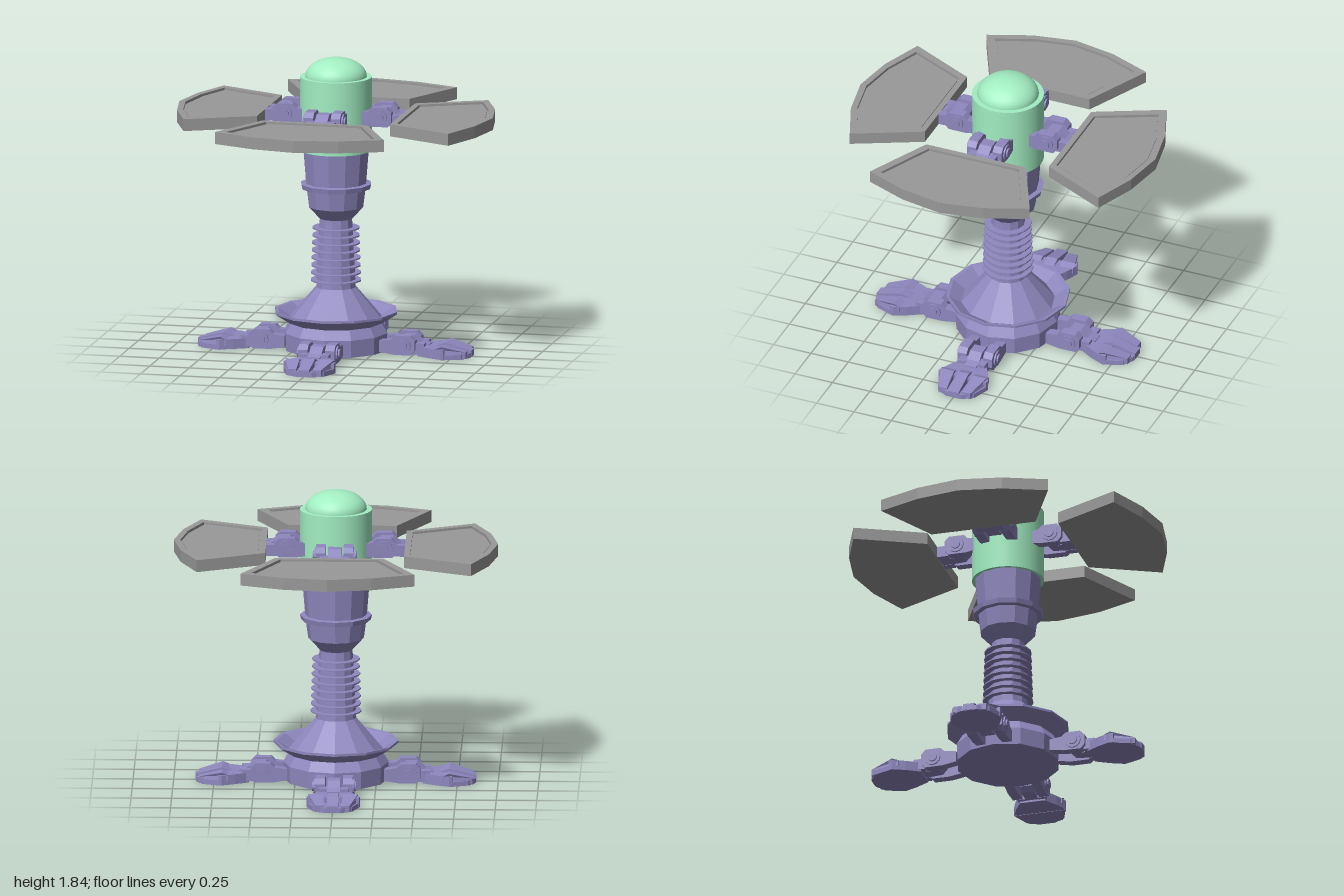
import * as THREE from 'three';

const material = (color, flatShading = true) =>
  new THREE.MeshStandardMaterial({ color, flatShading, side: THREE.DoubleSide });
const violet = material(0x8f88bf);
const green = material(0xa2eec2, false);
const greenFlat = material(0xa2eec2);
const grey = material(0x999999);

function add(parent, name, geometry, mat, x = 0, y = 0, z = 0) {
  const mesh = new THREE.Mesh(geometry, mat);
  mesh.name = name;
  mesh.position.set(x, y, z);
  parent.add(mesh);
  return mesh;
}

const vectors = (points) => points.map(([x, y]) => new THREE.Vector2(x, y));
const lathe = (points, sides) => new THREE.LatheGeometry(vectors(points), sides);

// Side profile (radial, up) given a width across z, centred on z = 0
function profile(points, width) {
  return new THREE.ExtrudeGeometry(new THREE.Shape(vectors(points)), { depth: width, bevelEnabled: false })
    .translate(0, 0, -width / 2);
}

// Plan outline (x, z) hanging down from y = 0, with an optional hole
function plate(points, thickness, hole) {
  const shape = new THREE.Shape(vectors(points));
  if (hole) shape.holes.push(new THREE.Path(vectors(hole)));
  return new THREE.ExtrudeGeometry(shape, { depth: thickness, bevelEnabled: false }).rotateX(Math.PI / 2);
}

// Twin lugs, centre tongue and a pin with stepped caps; pivot at the origin
function makeHinge(name) {
  const hinge = new THREE.Group();
  hinge.name = name;
  const lug = [[-0.15, -0.045], [-0.06, -0.06], [0.05, -0.06], [0.075, -0.03],
    [0.075, 0.03], [0.045, 0.06], [-0.05, 0.06], [-0.075, 0.035], [-0.15, 0.025]];
  const tongue = [[-0.05, -0.02], [-0.02, -0.05], [0.06, -0.055], [0.15, -0.055],
    [0.15, 0.0], [0.1, 0.015], [0.05, 0.05], [-0.02, 0.05], [-0.05, 0.02]];
  add(hinge, 'hingeTongue', profile(tongue, 0.08), violet);
  for (const side of [-1, 1]) {
    add(hinge, 'hingeLug', profile(lug, 0.06), violet, 0, 0, side * 0.085);
    add(hinge, 'hingeShoulder', new THREE.BoxGeometry(0.07, 0.07, 0.05), violet, 0.095, -0.022, side * 0.065);
    for (const [radius, reach] of [[0.05, 0.125], [0.03, 0.135]]) {
      const cap = add(hinge, 'pinCap', new THREE.CylinderGeometry(radius, radius, 0.03, 12), violet,
        0, 0, side * (reach - 0.015));
      cap.rotation.x = Math.PI / 2;
    }
  }
  return hinge;
}

// Palm with three sloping toes
function makeFoot() {
  const foot = new THREE.Group();
  foot.name = 'foot';
  const heel = [[0.535, -0.08], [0.62, -0.13], [0.7, -0.165], [0.72, -0.16],
    [0.72, 0.16], [0.7, 0.165], [0.62, 0.13], [0.535, 0.08]];
  add(foot, 'palm', plate(heel, 0.062), violet, 0, 0.064, 0);
  const sole = [[0.7, -0.165], [0.82, -0.12], [0.862, -0.05], [0.862, 0.05], [0.82, 0.12], [0.7, 0.165]];
  add(foot, 'toeSole', plate(sole, 0.03), violet, 0, 0.03, 0);
  add(foot, 'middleToe', profile([[0.64, 0.03], [0.866, 0.003], [0.866, 0.043], [0.7, 0.085], [0.64, 0.064]], 0.07), violet);
  for (const side of [-1, 1]) {
    const toe = profile([[0.7, 0.003], [0.845, 0.003], [0.845, 0.043], [0.7, 0.08], [0.66, 0.064], [0.66, 0.03]], 0.09);
    const p = toe.attributes.position;
    // Pull the outer toes inward toward their tips
    for (let i = 0; i < p.count; i++) {
      const t = Math.max(0, (p.getX(i) - 0.7) / 0.145);
      p.setZ(i, side * 0.108 + p.getZ(i) * (1 - 0.4 * t) - side * 0.03 * t);
    }
    toe.computeVertexNormals();
    add(foot, 'outerToe', toe, violet);
  }
  return foot;
}

// Fan-shaped panel with a shallow recess in its top
function makePanel() {
  const panel = new THREE.Group();
  panel.name = 'fanPanel';
  const fan = (inner, innerHalf, shoulder, half, bend, bendHalf, tip) => [[inner, -innerHalf],
    [shoulder, -half], [bend, -bendHalf], [tip, 0], [bend, bendHalf], [shoulder, half], [inner, innerHalf]];
  const outline = fan(0.428, 0.333, 0.845, 0.535, 0.95, 0.27, 1.0);
  const recess = fan(0.465, 0.3, 0.825, 0.47, 0.917, 0.24, 0.96);
  const inset = fan(0.475, 0.288, 0.82, 0.455, 0.907, 0.232, 0.948);
  add(panel, 'panelSlab', plate(outline, 0.058), grey, 0, -0.017, 0);
  add(panel, 'panelRim', plate(outline, 0.017, recess), grey);
  add(panel, 'panelInset', plate(inset, 0.008), grey, 0, -0.011, 0);
  return panel;
}

export function createModel() {
  const model = new THREE.Group();
  model.name = 'fanTower';

  // Base drum, dished flange and cone, neck and head
  add(model, 'pedestal', lathe([[0, 0.012], [0.32, 0.012], [0.325, 0.12], [0.29, 0.18], [0.385, 0.24],
    [0.385, 0.255], [0.365, 0.252], [0.29, 0.205], [0.125, 0.4], [0.102, 0.83], [0.172, 0.905],
    [0.187, 1.02], [0.19, 1.05], [0.207, 1.26], [0, 1.26]], 12), violet);
  add(model, 'headCollar', lathe([[0.18, 1.015], [0.215, 1.02], [0.222, 1.05], [0.18, 1.055]], 12), violet);
  for (let i = 0; i < 8; i++) {
    add(model, 'neckRing', new THREE.CylinderGeometry(0.157 - i * 0.0015, 0.157 - i * 0.0015, 0.009, 16),
      violet, 0, 0.443 + i * 0.0468, 0);
  }

  // Lamp housing and dome
  add(model, 'lampHousing', new THREE.CylinderGeometry(0.222, 0.222, 0.46, 40, 1, true), green, 0, 1.49, 0);
  add(model, 'housingTop', new THREE.RingGeometry(0.185, 0.222, 40).rotateX(-Math.PI / 2), greenFlat, 0, 1.72, 0);
  add(model, 'housingBottom', new THREE.RingGeometry(0.1, 0.222, 40).rotateX(Math.PI / 2), greenFlat, 0, 1.26, 0);
  const dome = add(model, 'lampDome', new THREE.SphereGeometry(0.19, 40, 14, 0, Math.PI * 2, 0, Math.PI / 2), green, 0, 1.72, 0);
  dome.scale.y = 0.62;

  // Four legs and four panels around the tower
  for (let i = 0; i < 4; i++) {
    const side = new THREE.Group();
    side.name = 'side' + (i + 1);
    side.rotation.y = i * Math.PI / 2;
    const legHinge = makeHinge('legHinge');
    legHinge.position.set(0.45, 0.07, 0);
    const panelHinge = makeHinge('panelHinge');
    panelHinge.position.set(0.3, 1.497, 0);
    const panel = makePanel();
    panel.position.set(0, 1.51, 0.031);
    side.add(legHinge, makeFoot(), panelHinge, panel);
    model.add(side);
  }
  return model;
}
